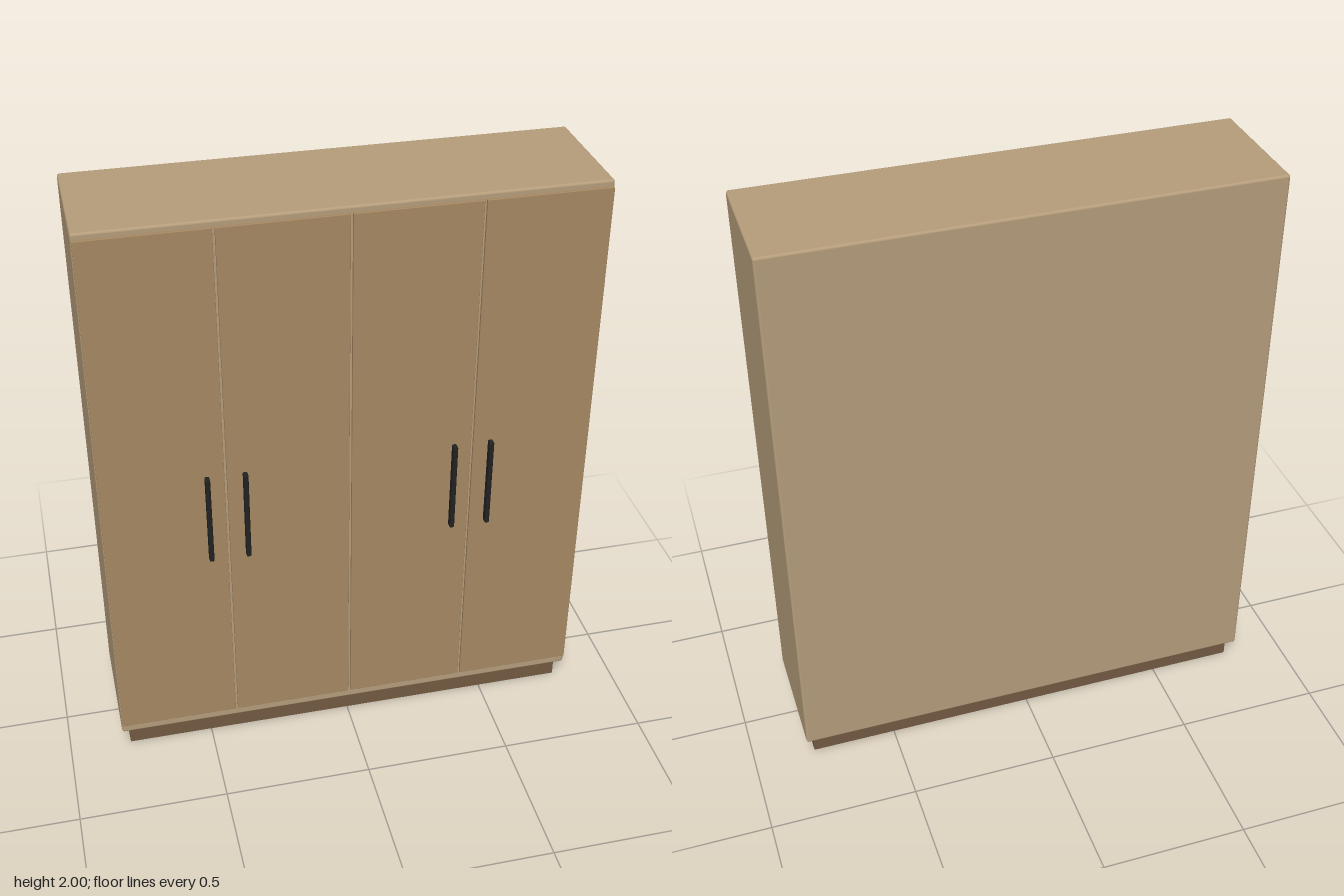
import * as THREE from 'three';
import { RoundedBoxGeometry } from 'three/addons/geometries/RoundedBoxGeometry.js';

const material = (color) => new THREE.MeshStandardMaterial({ color });

export function createModel() {
  const model = new THREE.Group();
  model.name = 'wardrobe';

  const carcassWood = material(0xb59d7b);
  const doorWood = material(0xa68862);
  const plinthWood = material(0x735a42);
  const handleMetal = material(0x222222);

  // Box given by its minimum and maximum corners, with optional rounded edges
  function addBox(name, [x0, y0, z0], [x1, y1, z1], mat, radius = 0) {
    const size = [x1 - x0, y1 - y0, z1 - z0];
    const geometry = radius
      ? new RoundedBoxGeometry(...size, 3, radius)
      : new THREE.BoxGeometry(...size);
    const mesh = new THREE.Mesh(geometry, mat);
    mesh.name = name;
    mesh.position.set((x0 + x1) / 2, (y0 + y1) / 2, (z0 + z1) / 2);
    model.add(mesh);
  }

  // Recessed plinth and carcass with softened edges
  addBox('plinth', [-0.79, 0, -0.205], [0.79, 0.075, 0.175], plinthWood);
  addBox('carcass', [-0.817, 0.073, -0.234], [0.817, 2, 0.2], carcassWood, 0.008);

  // Two doors on each side, with a handle beside the shared gap
  for (const [side, label] of [[1, 'left'], [-1, 'right']]) {
    const doors = [
      ['Inner', 0.004, 0.405, 0.347],
      ['Outer', 0.413, 0.814, 0.47],
    ];
    for (const [place, near, far, handleX] of doors) {
      const a = Math.min(side * near, side * far);
      const b = Math.max(side * near, side * far);
      addBox(`${label}${place}Door`, [a, 0.11, 0.198], [b, 1.98, 0.21], doorWood, 0.002);
      const x = side * handleX;
      addBox(`${label}${place}Handle`, [x - 0.008, 0.797, 0.208], [x + 0.008, 1.122, 0.234], handleMetal, 0.005);
    }
  }

  return model;
}
